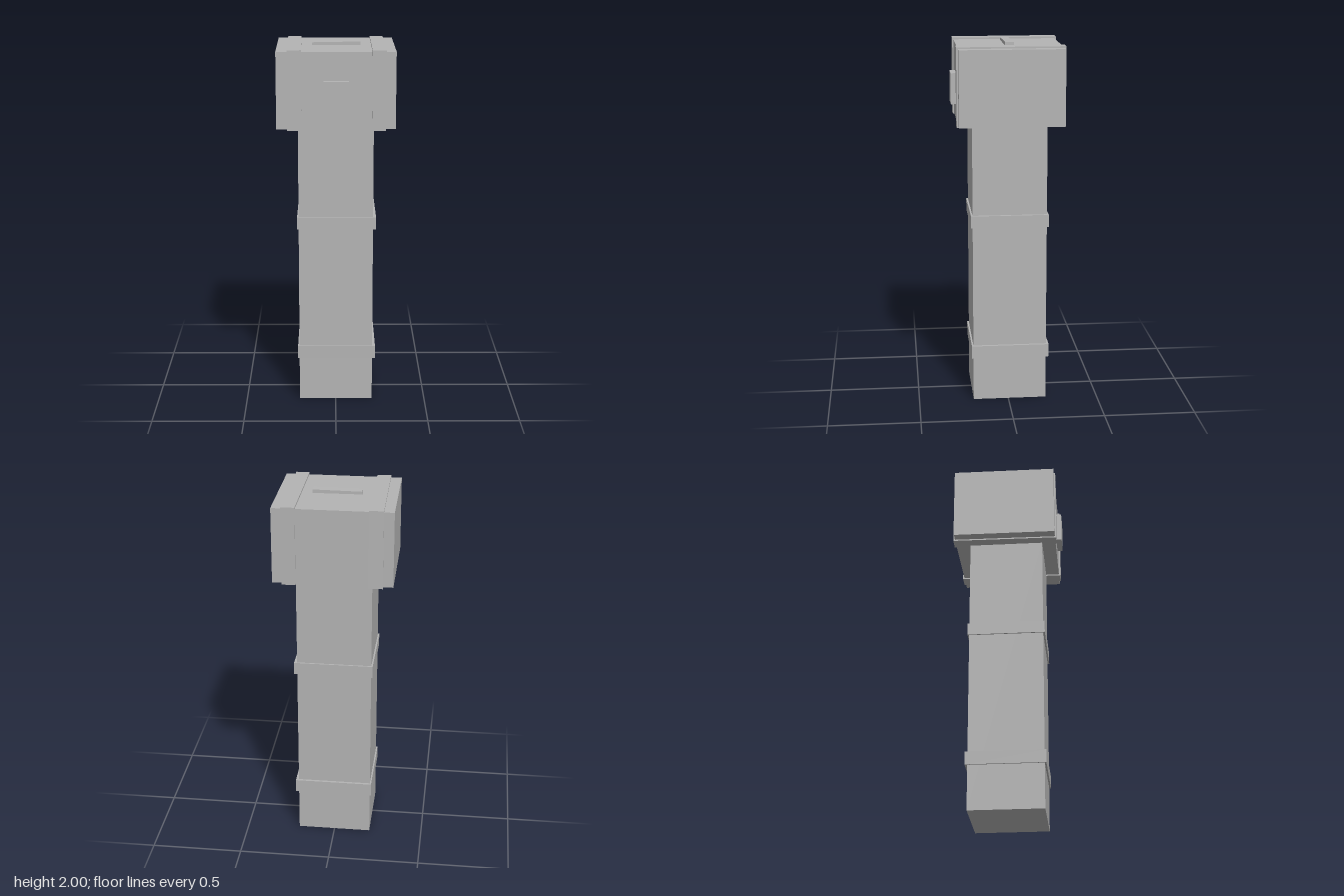
import * as THREE from 'three';

export function createModel() {
  const model = new THREE.Group();
  const grey = new THREE.MeshStandardMaterial({ color: 0xb4b4b4 });
  grey.name = 'grey';

  // Box given by its limits on each axis
  const block = (name, [x0, x1], [y0, y1], [z0, z1]) => {
    const mesh = new THREE.Mesh(new THREE.BoxGeometry(x1 - x0, y1 - y0, z1 - z0), grey);
    mesh.position.set((x0 + x1) / 2, (y0 + y1) / 2, (z0 + z1) / 2);
    mesh.name = name;
    model.add(mesh);
    return mesh;
  };

  // Square shaft with two raised bands
  block('shaft', [-0.202, 0.204], [0.004, 1.575], [-0.211, 0.195]);
  block('lowerBand', [-0.21, 0.22], [0.252, 0.324], [-0.225, 0.204]);
  block('upperBand', [-0.21, 0.22], [1.003, 1.07], [-0.22, 0.204]);

  // Head block, its left face leaning slightly
  const head = block('head', [-0.318, 0.317], [1.572, 1.981], [-0.292, 0.27]);
  const p = head.geometry.attributes.position;
  for (let i = 0; i < p.count; i++) {
    if (p.getX(i) < 0 && p.getZ(i) > 0) p.setX(i, p.getX(i) + 0.004);
  }
  head.geometry.computeVertexNormals();

  // Straps wrapped around the head
  const strapA = block('rightStrap', [-0.26, -0.185], [1.565, 1.99], [-0.302, 0.277]);
  strapA.rotation.y = 0.014;
  block('leftStrap', [0.192, 0.265], [1.565, 1.99], [-0.3, 0.279]);

  // Plate on the front and thin bar on top
  block('frontPlate', [-0.063, 0.068], [1.66, 1.828], [0.25, 0.3]);
  const bar = block('topBar', [-0.127, 0.135], [1.97, 1.998], [-0.033, 0.013]);
  bar.rotation.set(0, 0.014, 0.015);

  return model;
}
